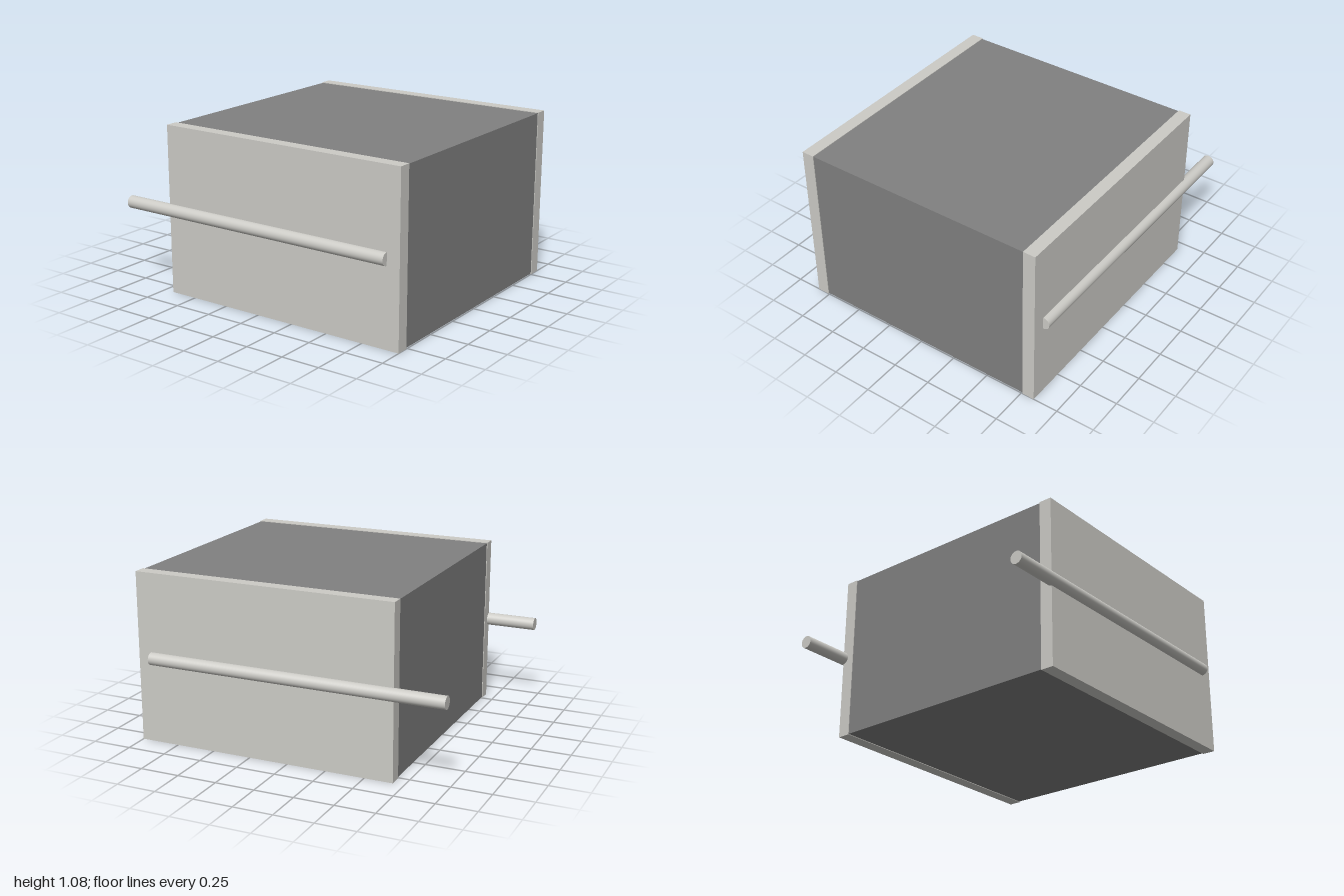
import * as THREE from 'three';

const light = new THREE.MeshStandardMaterial({ color: 0xcccbc6 });
const dark = new THREE.MeshStandardMaterial({ color: 0x808080 });

const HEIGHT = 1.077, BACK = -0.68, FRONT = 1;
const INNER = 0.757, OUTER = 0.838; // side panel faces
const INSET = 0.004; // body sits just inside the panel edges

function addMesh(parent, name, geometry, material, x, y, z) {
  const mesh = new THREE.Mesh(geometry, material);
  mesh.name = name;
  mesh.position.set(x, y, z);
  parent.add(mesh);
  return mesh;
}

export function createModel() {
  const model = new THREE.Group();
  model.name = 'boxWithRails';
  const depth = FRONT - BACK, midZ = (FRONT + BACK) / 2;

  // Dark central body
  const body = new THREE.BoxGeometry(INNER * 2, HEIGHT - 2 * INSET, depth - 2 * INSET);
  addMesh(model, 'body', body, dark, 0, HEIGHT / 2, midZ);

  // Side panels, each with a round rail half sunk in and running out behind
  const panel = new THREE.BoxGeometry(OUTER - INNER, HEIGHT, depth);
  const railFront = 0.915, railBack = -1;
  const rail = new THREE.CylinderGeometry(0.04, 0.04, railFront - railBack, 40).rotateX(Math.PI / 2);
  for (const [side, s] of [['left', 1], ['right', -1]]) {
    addMesh(model, side + 'Panel', panel, light, s * (INNER + OUTER) / 2, HEIGHT / 2, midZ);
    addMesh(model, side + 'Rail', rail, light, s * 0.84, HEIGHT / 2, (railFront + railBack) / 2);
  }
  return model;
}
